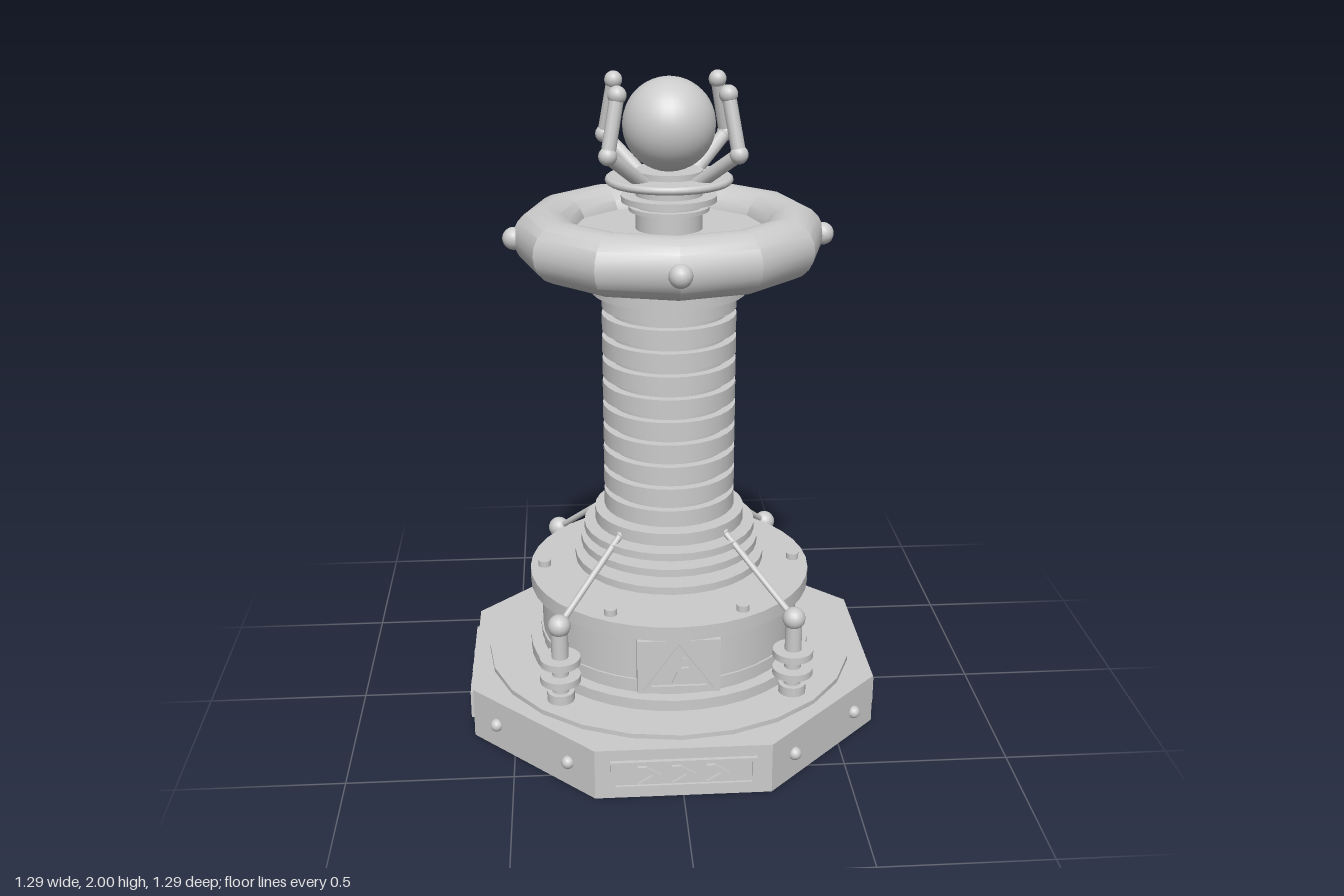
import * as THREE from 'three';
import { toCreasedNormals } from 'three/addons/utils/BufferGeometryUtils.js';

const material = new THREE.MeshStandardMaterial({ color: 0xcccccc });

export function createModel() {
  const root = new THREE.Group();
  root.name = 'coilTower';

  const add = (name, geometry, x = 0, y = 0, z = 0, parent = root) => {
    const mesh = new THREE.Mesh(geometry, material);
    mesh.name = name;
    mesh.position.set(x, y, z);
    parent.add(mesh);
    return mesh;
  };
  // upright disc or cylinder between two heights
  const disc = (name, r, y0, y1, x = 0, z = 0, seg = 32, parent = root) =>
    add(name, new THREE.CylinderGeometry(r, r, y1 - y0, seg), x, (y0 + y1) / 2, z, parent);
  const ball = (name, r, x, y, z, parent = root) =>
    add(name, new THREE.SphereGeometry(r, 16, 12), x, y, z, parent);
  // straight rod between two points
  const rod = (name, a, b, r, parent = root) => {
    const from = new THREE.Vector3(...a), dir = new THREE.Vector3(...b).sub(from);
    const mesh = add(name, new THREE.CylinderGeometry(r, r, dir.length(), 10), 0, 0, 0, parent);
    mesh.position.copy(from).addScaledVector(dir, 0.5);
    mesh.quaternion.setFromUnitVectors(new THREE.Vector3(0, 1, 0), dir.normalize());
    return mesh;
  };
  const polygon = (points, Type = THREE.Shape) =>
    new Type(points.map(([x, y]) => new THREE.Vector2(x, y)));
  const extrude = (shape, depth) =>
    new THREE.ExtrudeGeometry(shape, { depth, bevelEnabled: false });

  // octagonal plinth
  const plinth = new THREE.CylinderGeometry(0.68, 0.68, 0.16, 8);
  plinth.rotateY(Math.PI / 8);
  add('plinth', toCreasedNormals(plinth, 0.3), 0, 0.08, 0);
  disc('plinthTop', 0.585, 0.155, 0.175, 0, 0, 24);

  // framed panels: chevrons on front and back, slanted stripes on the sides
  const frame = polygon([[-0.215, 0.035], [0.215, 0.035], [0.215, 0.125], [-0.215, 0.125]]);
  frame.holes.push(polygon([[-0.2, 0.045], [-0.2, 0.115], [0.2, 0.115], [0.2, 0.045]], THREE.Path));
  const chevron = polygon([[-0.035, -0.028], [-0.01, -0.028], [0.035, 0], [-0.01, 0.028], [-0.035, 0.028], [0.01, 0]]);
  const stripe = polygon([[-0.05, -0.03], [-0.01, -0.03], [0.05, 0.03], [0.01, 0.03]]);
  for (let i = 0; i < 4; i++) {
    const panel = new THREE.Group();
    panel.name = 'plinthPanel';
    panel.rotation.y = i * Math.PI / 2;
    root.add(panel);
    add('panelFrame', extrude(frame, 0.016), 0, 0, 0.624, panel);
    add('panelPlate', new THREE.BoxGeometry(0.41, 0.08, 0.01), 0, 0.08, 0.628, panel);
    for (const x of [-0.1, 0, 0.1])
      add('panelMark', extrude(i % 2 ? stripe : chevron, 0.014), x, 0.08, 0.629, panel);
  }

  // drum with its rims and lid
  disc('drumFoot', 0.45, 0.17, 0.21, 0, 0, 40);
  disc('drum', 0.41, 0.2, 0.42, 0, 0, 40);
  disc('drumBand', 0.416, 0.237, 0.257, 0, 0, 40);
  disc('drumLid', 0.445, 0.41, 0.455, 0, 0, 40);
  for (let i = 0; i < 6; i++) {
    const a = i * Math.PI / 3;
    disc('lidBolt', 0.02, 0.45, 0.475, 0.4 * Math.cos(a), 0.4 * Math.sin(a), 12);
  }

  // warning plates, front and back
  const triangle = polygon([[-0.105, -0.07], [0.105, -0.07], [0, 0.078]]);
  triangle.holes.push(polygon([[-0.085, -0.059], [0, 0.06], [0.085, -0.059]], THREE.Path));
  const bolt = polygon([[0.012, 0.035], [-0.028, -0.012], [-0.004, -0.01], [-0.022, -0.05],
    [0.028, 0.002], [0.004, 0], [0.026, 0.03]]);
  for (const turn of [0, Math.PI]) {
    const sign = new THREE.Group();
    sign.name = 'warningSign';
    sign.rotation.y = turn;
    root.add(sign);
    add('signPlate', new THREE.BoxGeometry(0.25, 0.175, 0.05), 0, 0.315, 0.405, sign);
    add('signTriangle', extrude(triangle, 0.014), 0, 0.313, 0.425, sign);
    add('signBolt', extrude(bolt, 0.014), 0, 0.313, 0.425, sign);
  }

  // column: core, stacked insulators and winding rings
  disc('lowerCore', 0.14, 0.45, 0.66);
  for (const [r, y] of [[0.3, 0.5], [0.28, 0.55], [0.27, 0.598]])
    disc('insulatorDisc', r, y - 0.012, y + 0.012);
  disc('lowerCollar', 0.235, 0.62, 0.66);
  disc('columnCore', 0.178, 0.65, 1.38);
  for (let i = 0; i < 10; i++) {
    const y = 0.696 + i * 0.0718;
    disc('windingRing', 0.205, y - 0.026, y + 0.026);
  }
  disc('upperCollar', 0.235, 1.365, 1.413);
  disc('neck', 0.2, 1.41, 1.52);

  // faceted ring with a plate across it
  const ring = new THREE.TorusGeometry(0.375, 0.09, 20, 12);
  ring.rotateX(Math.PI / 2);
  add('topRing', toCreasedNormals(ring, 0.4), 0, 1.53, 0);
  disc('ringPlate', 0.32, 1.5, 1.555);

  // stem, dishes and sphere
  disc('stem', 0.1, 1.55, 1.73);
  disc('smallDish', 0.143, 1.638, 1.656);
  disc('stemRing', 0.12, 1.61, 1.622);
  disc('largeDish', 0.18, 1.69, 1.712);
  const lip = new THREE.TorusGeometry(0.178, 0.012, 10, 32);
  lip.rotateX(Math.PI / 2);
  add('dishLip', lip, 0, 1.702, 0);
  add('topSphere', new THREE.SphereGeometry(0.137, 32, 24), 0, 1.863, 0);

  // parts on the four axes and four diagonals
  for (let i = 0; i < 4; i++) {
    const quarter = new THREE.Group();
    quarter.name = 'quarter';
    quarter.rotation.y = i * Math.PI / 2;
    root.add(quarter);
    ball('ringKnob', 0.034, 0.462, 1.53, 0, quarter);

    // rivets on the diagonal plinth faces
    ball('plinthRivet', 0.02, 0.338, 0.08, 0.555, quarter);
    ball('plinthRivet', 0.02, 0.555, 0.08, 0.338, quarter);

    // jointed prong around the sphere
    rod('prongLower', [0.075, 1.7, 0.075], [0.185, 1.805, 0.185], 0.021, quarter);
    ball('prongElbow', 0.027, 0.185, 1.805, 0.185, quarter);
    rod('prongUpper', [0.185, 1.805, 0.185], [0.156, 1.97, 0.156], 0.021, quarter);
    ball('prongTip', 0.027, 0.156, 1.97, 0.156, quarter);

    // terminal post with flanges and a stay wire
    const p = 0.355;
    disc('postFoot', 0.042, 0.17, 0.205, p, p, 16, quarter);
    disc('post', 0.026, 0.19, 0.42, p, p, 16, quarter);
    for (const y of [0.25, 0.31]) disc('postFlange', 0.062, y - 0.011, y + 0.011, p, p, 24, quarter);
    ball('postBall', 0.035, p, 0.425, p, quarter);
    rod('stayWire', [p, 0.425, p], [0.16, 0.63, 0.16], 0.01, quarter);
    ball('stayEnd', 0.014, 0.16, 0.63, 0.16, quarter);
  }
  return root;
}
